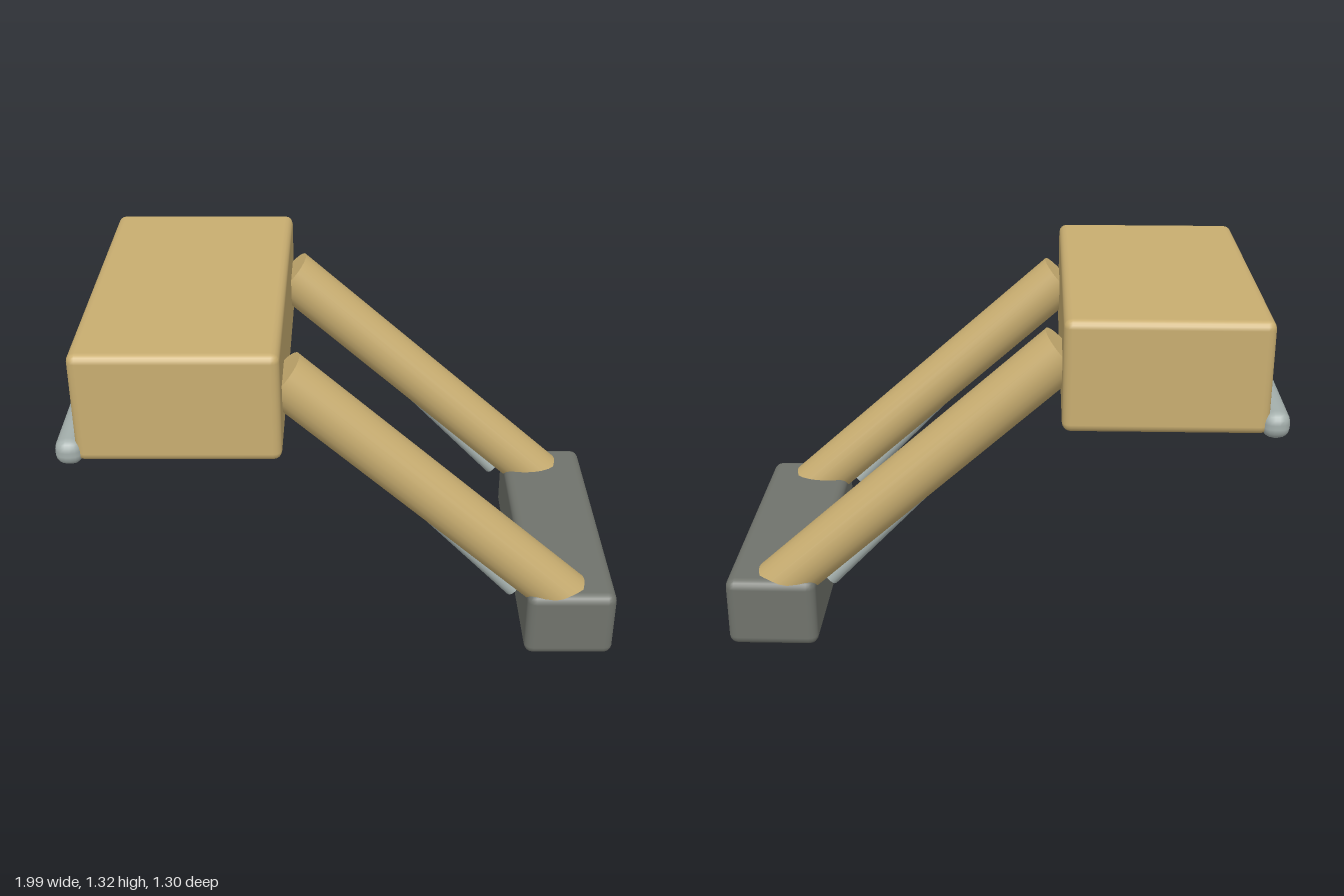
import * as THREE from 'three';
import { RoundedBoxGeometry } from 'three/addons/geometries/RoundedBoxGeometry.js';

export function createModel() {
  const group = new THREE.Group();
  const material = (name, color) => {
    const m = new THREE.MeshStandardMaterial({ color });
    m.name = name;
    return m;
  };
  const yellow = material('ochre paint', 0xc8ad70);
  const dark = material('dark grey', 0x70736c);
  const steel = material('light steel', 0xa4afac);

  const add = (name, geometry, mat) => {
    const mesh = new THREE.Mesh(geometry, mat);
    mesh.name = name;
    group.add(mesh);
    return mesh;
  };
  const block = (name, size, center, radius, mat) =>
    add(name, new RoundedBoxGeometry(...size, 2, radius), mat).position.set(...center);

  // Cylinder running between two points in the plane at depth z
  const rod = (name, from, to, z, radius, sides, mat) => {
    const a = new THREE.Vector3(...from, z);
    const b = new THREE.Vector3(...to, z);
    const mesh = add(name, new THREE.CylinderGeometry(radius, radius, a.distanceTo(b), sides), mat);
    mesh.position.copy(a).lerp(b, 0.5);
    mesh.quaternion.setFromUnitVectors(new THREE.Vector3(0, 1, 0), b.sub(a).normalize());
  };

  // Main body, end weight and the edge bar below the body
  block('body', [0.7, 0.4, 1.27], [-0.58, 1.118, 0], 0.03, yellow);
  block('footBlock', [0.335, 0.27, 1.08], [0.8275, 0.135, 0], 0.035, dark);
  block('edgeBar', [0.095, 0.095, 1.3], [-0.952, 0.952, 0], 0.04, steel);

  // Sloping arms with a slim piston beneath each
  for (const [side, z] of [['front', 0.436], ['back', -0.436]]) {
    rod(side + 'Arm', [-0.237, 1.148], [0.815, 0.208], z, 0.0975, 24, yellow);
    rod(side + 'Piston', [0.06, 0.82], [0.614, 0.24], z, 0.03, 16, steel);
  }
  return group;
}
